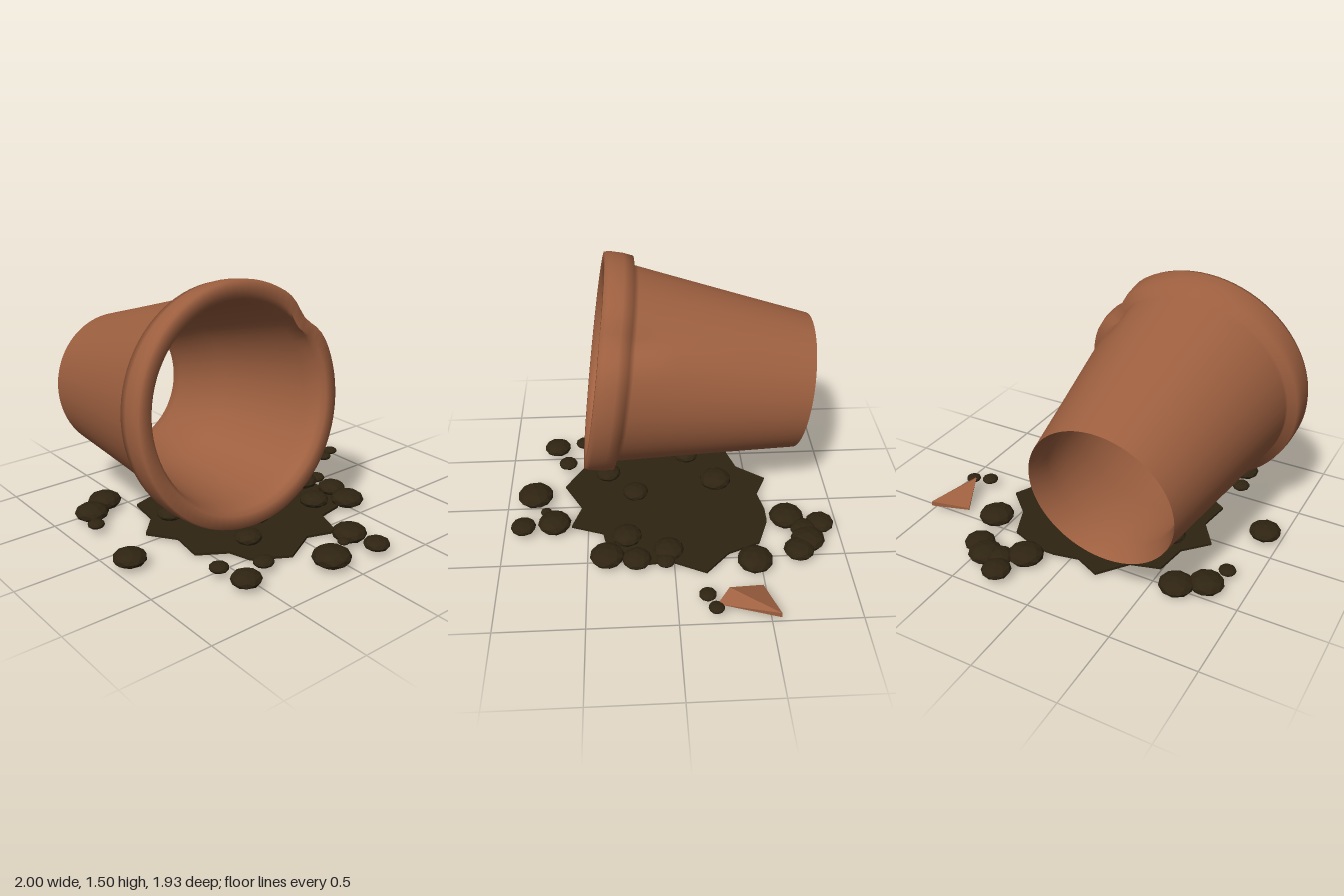
import * as THREE from 'three';
import { mergeVertices, toCreasedNormals } from 'three/addons/utils/BufferGeometryUtils.js';
import { ConvexGeometry } from 'three/addons/geometries/ConvexGeometry.js';

const terracotta = new THREE.MeshStandardMaterial({ color: 0x9e6040, side: THREE.DoubleSide });
terracotta.name = 'terracotta';
const soil = new THREE.MeshStandardMaterial({ color: 0x2f2412, side: THREE.DoubleSide });
soil.name = 'soil';

function part(name, geometry, material) {
  const mesh = new THREE.Mesh(geometry, material);
  mesh.name = name;
  return mesh;
}

// Tipped pot, open at both ends, with a chipped rim
function makePot() {
  const profile = [
    [0.4165, 0], [0.48, 0.4], [0.545, 0.8], [0.568, 0.94], [0.588, 1.06], [0.592, 1.085],
    [0.645, 1.09], [0.655, 1.15], [0.657, 1.235], [0.65, 1.26], [0.58, 1.26], [0.556, 1.23],
    [0.54, 1.12], [0.44, 0.5], [0.378, 0.12], [0.4165, 0],
  ].map(([r, h]) => new THREE.Vector2(r, h));
  let geometry = new THREE.LatheGeometry(profile, 80);
  geometry.deleteAttribute('uv');
  geometry.deleteAttribute('normal');

  // Press the outer wall inward around the chip
  const pos = geometry.attributes.position;
  const chipAngle = 0.7;
  for (let i = 0; i < pos.count; i++) {
    const x = pos.getX(i), h = pos.getY(i), z = pos.getZ(i);
    const r = Math.hypot(x, z);
    const outer = r > 0.39 + 0.139 * h;
    if (!outer) continue;
    const off = (Math.atan2(-z, x) - chipAngle) / 0.17;
    const depth = 0.045 * Math.exp(-off * off) * THREE.MathUtils.smoothstep(h, 0.8, 1.12);
    pos.setX(i, x * (1 - depth / r));
    pos.setZ(i, z * (1 - depth / r));
  }
  geometry = toCreasedNormals(mergeVertices(geometry, 1e-4), 1.9);

  const pot = part('pot', geometry, terracotta);
  pot.rotation.x = THREE.MathUtils.degToRad(81.9);
  pot.position.set(-0.34, 0.68, -0.81);
  return pot;
}

// Flat irregular patch of spilled soil
function makePatch() {
  const outline = [
    [0.1, -0.58], [0.21, -0.58], [0.4, -0.51], [0.48, -0.32], [0.63, -0.18], [0.53, 0.02],
    [0.55, 0.2], [0.43, 0.38], [0.27, 0.41], [0.2, 0.6], [0.03, 0.54], [-0.18, 0.65],
    [-0.38, 0.53], [-0.42, 0.4], [-0.58, 0.3], [-0.55, 0.1], [-0.66, -0.06], [-0.53, -0.2],
    [-0.5, -0.4], [-0.33, -0.45], [-0.2, -0.62], [-0.05, -0.55],
  ].map(([x, z]) => new THREE.Vector2(x, -z));
  const geometry = new THREE.ExtrudeGeometry(new THREE.Shape(outline), { depth: 0.015, bevelEnabled: false });
  geometry.rotateX(-Math.PI / 2);
  geometry.translate(0, 0.01, 0);
  return part('soilPatch', geometry, soil);
}

// Flattened faceted lumps of soil: x, z, radius
function makeClumps() {
  const clumps = new THREE.Group();
  clumps.name = 'soilClumps';
  const shape = new THREE.IcosahedronGeometry(1, 1);
  const spots = [
    [0.28, -0.885, 0.085], [0.21, -0.695, 0.105], [0.33, -0.78, 0.08], [0.42, -0.79, 0.1],
    [0.505, -0.725, 0.09], [0.575, -0.46, 0.105], [0.465, 0.03, 0.09], [0.56, 0.05, 0.055],
    [0.535, 0.215, 0.085], [0.5, 0.385, 0.1], [0.335, 0.27, 0.09], [0.2, 0.7, 0.1],
    [0.1, 0.755, 0.035], [0.225, 0.885, 0.075], [-0.065, 0.83, 0.11], [-0.38, 0.64, 0.06],
    [-0.56, 0.715, 0.085], [-0.6, 0.54, 0.055], [-0.905, 0.16, 0.095], [-0.79, -0.43, 0.1],
    [-0.85, -0.28, 0.05], [-0.65, -0.52, 0.1], [0.835, -0.165, 0.05], [0.935, -0.205, 0.045],
    [-0.27, 0.38, 0.08], [-0.07, 0.21, 0.08], [-0.17, -0.3, 0.1], [-0.44, -0.13, 0.08],
  ];
  // Unshared triangles keep the facets flat
  shape.computeVertexNormals();
  spots.forEach(([x, z, r], i) => {
    const clump = part('clump' + (i + 1), shape, soil);
    clump.scale.set(r, r * 0.5, r);
    clump.rotation.y = i * 1.3;
    clump.position.set(x, 0.056, z);
    clumps.add(clump);
  });
  return clumps;
}

// Broken piece of the rim
function makeShard() {
  const corners = [
    [0.77, 0.032, -0.48], [0.77, 0.045, -0.48], [1, 0.03, -0.55], [1, 0.06, -0.55],
    [0.92, 0.065, -0.21], [0.855, 0.122, -0.28],
  ].map((p) => new THREE.Vector3(...p));
  return part('shard', new ConvexGeometry(corners), terracotta);
}

export function createModel() {
  const model = new THREE.Group();
  model.name = 'brokenPot';
  model.add(makePot(), makePatch(), makeClumps(), makeShard());
  return model;
}
